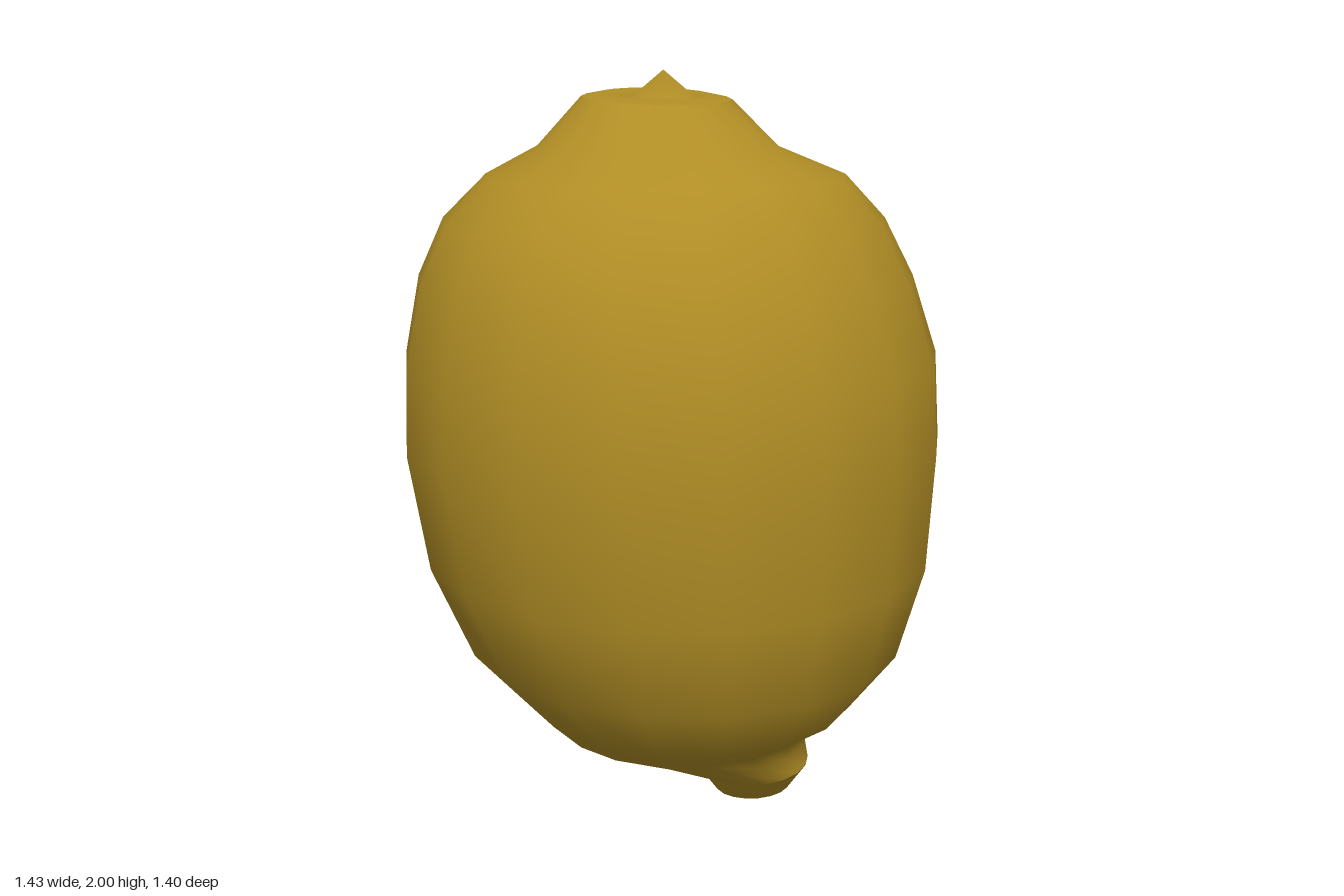
import * as THREE from 'three';

const SIDES = 18;

// Each ring: [y, xMin, xMax, zMin, zMax, tilt along x, tilt along z]
// A ring with xMin === xMax closes the skin in a single point.
function skin(rings, material, name) {
  const positions = [], index = [], starts = [];
  for (const [y, x0, x1, z0, z1, tiltX = 0, tiltZ = 0] of rings) {
    const n = x0 === x1 ? 1 : SIDES;
    starts.push([positions.length / 3, n]);
    for (let i = 0; i < n; i++) {
      const a = (i / SIDES) * Math.PI * 2;
      const c = n === 1 ? 0 : Math.cos(a), s = n === 1 ? 0 : Math.sin(a);
      positions.push(
        (x0 + x1) / 2 + c * (x1 - x0) / 2,
        y + c * tiltX + s * tiltZ,
        (z0 + z1) / 2 + s * (z1 - z0) / 2
      );
    }
  }
  for (let r = 0; r < rings.length - 1; r++) {
    const [a, na] = starts[r], [b, nb] = starts[r + 1];
    for (let i = 0; i < SIDES; i++) {
      const j = (i + 1) % SIDES;
      if (nb > 1) index.push(a + (na > 1 ? i : 0), b + i, b + j);
      if (na > 1) index.push(a + i, b + (nb > 1 ? j : 0), a + j);
    }
  }
  const g = new THREE.BufferGeometry();
  g.setAttribute('position', new THREE.Float32BufferAttribute(positions, 3));
  g.setIndex(index);
  g.computeVertexNormals();
  const mesh = new THREE.Mesh(g, material);
  mesh.name = name;
  return mesh;
}

export function createModel() {
  const group = new THREE.Group();
  group.name = 'lemon';
  const peel = new THREE.MeshStandardMaterial({ color: 0xb08d25 });
  peel.name = 'lemon peel';

  const tipRing = [0.13, 0.03, 0.335, 0.0, 0.3, 0.01, 0.0];
  const collarRing = [1.93, -0.21, 0.18, -0.29, 0.11, 0, -0.012];

  // Pointed blossom end, off to the front left
  group.add(skin([
    [0.0, 0.19, 0.19, 0.13, 0.13],
    [0.05, 0.08, 0.29, 0.05, 0.23],
    tipRing,
  ], peel, 'blossomTip'));

  // Main rind, slightly lopsided
  group.add(skin([
    tipRing,
    [0.19, -0.16, 0.345, -0.17, 0.33],
    [0.25, -0.34, 0.39, -0.31, 0.38],
    [0.34, -0.43, 0.49, -0.46, 0.51],
    [0.5, -0.57, 0.61, -0.57, 0.63],
    [0.75, -0.675, 0.685, -0.665, 0.7],
    [1.05, -0.72, 0.71, -0.71, 0.71],
    [1.28, -0.71, 0.69, -0.695, 0.705],
    [1.48, -0.665, 0.63, -0.665, 0.635],
    [1.63, -0.595, 0.55, -0.595, 0.565],
    [1.74, -0.475, 0.45, -0.52, 0.46],
    [1.81, -0.335, 0.28, -0.395, 0.3],
    collarRing,
  ], peel, 'rind'));

  // Dimpled stem end with a small raised stub
  group.add(skin([
    collarRing,
    [1.94, -0.16, 0.13, -0.24, 0.06, 0, -0.01],
    [1.925, -0.09, 0.09, -0.17, 0.01],
    [2.0, 0, 0, -0.08, -0.08],
  ], peel, 'stemEnd'));

  return group;
}
